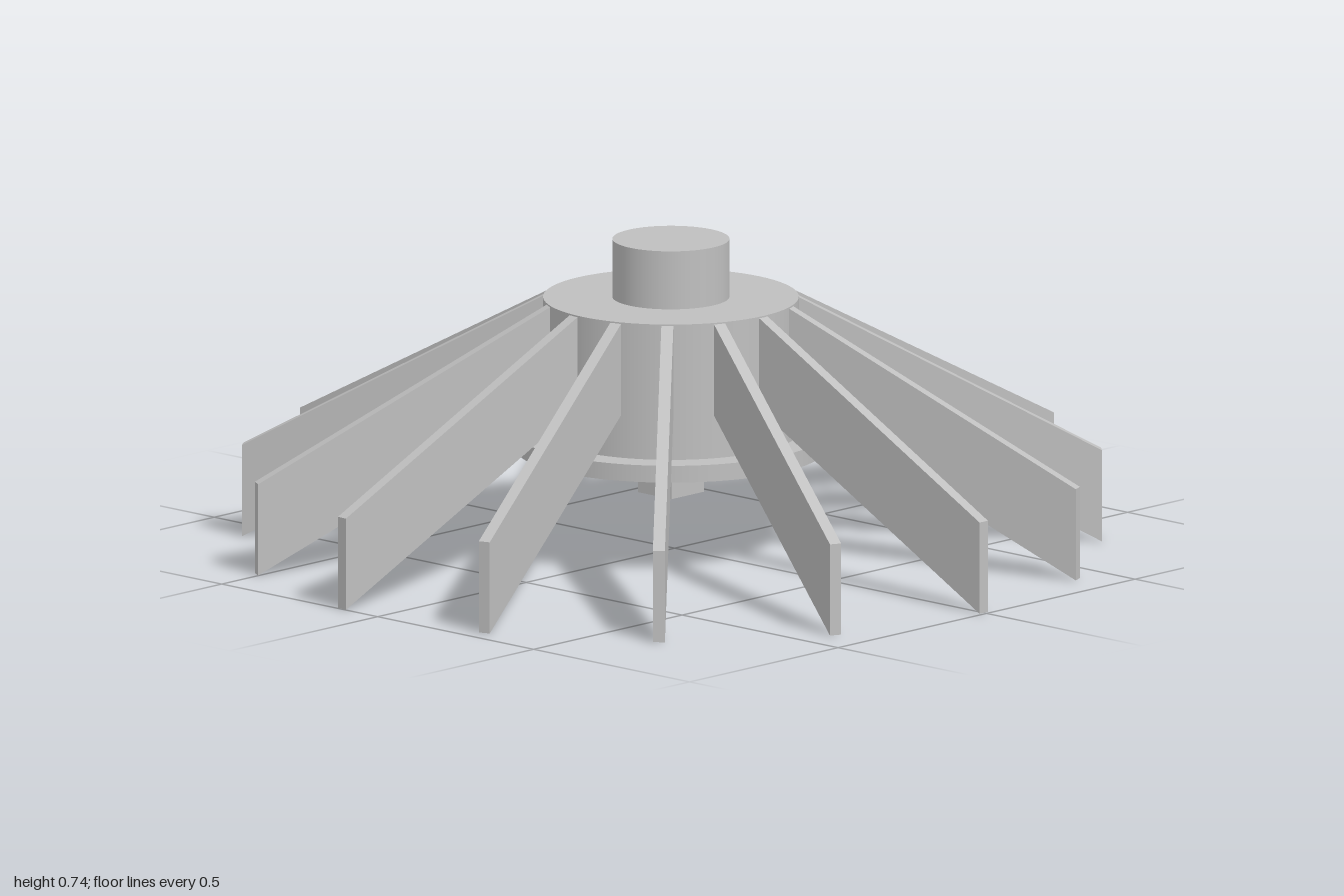
import * as THREE from 'three';

export function createModel() {
  const model = new THREE.Group();
  model.name = 'finnedWheel';
  const grey = new THREE.MeshStandardMaterial({ color: 0xbfbfbf });
  grey.name = 'plain grey';
  const centreX = -0.012;

  const add = (name, geometry, y = 0) => {
    const mesh = new THREE.Mesh(geometry, grey);
    mesh.name = name;
    mesh.position.set(centreX, y, 0);
    model.add(mesh);
    return mesh;
  };
  const disc = (name, radius, bottom, top) =>
    add(name, new THREE.CylinderGeometry(radius, radius, top - bottom, 72), (bottom + top) / 2);

  // Stacked round core
  disc('hub', 0.297, 0.26, 0.597);
  disc('flange', 0.36, 0.235, 0.275);
  disc('topBoss', 0.136, 0.59, 0.735);

  // Square drive peg under the flange
  add('squarePeg', new THREE.BoxGeometry(0.108, 0.115, 0.108), 0.1895);

  // Sloping blades: a parallelogram side outline with a small root inside the hub
  const outline = new THREE.Shape([
    [0.27, 0.38], [0.29, 0.38], [1.003, 0], [1.003, 0.217], [0.292, 0.596], [0.27, 0.596],
  ].map(([r, y]) => new THREE.Vector2(r, y)));
  const thickness = 0.028;
  const bladeGeometry = new THREE.ExtrudeGeometry(outline, { depth: thickness, bevelEnabled: false });
  bladeGeometry.translate(0, 0, -thickness / 2);

  const count = 15;
  for (let i = 0; i < count; i++) {
    add('blade' + (i + 1), bladeGeometry).rotation.y = (i / count) * Math.PI * 2;
  }
  return model;
}
